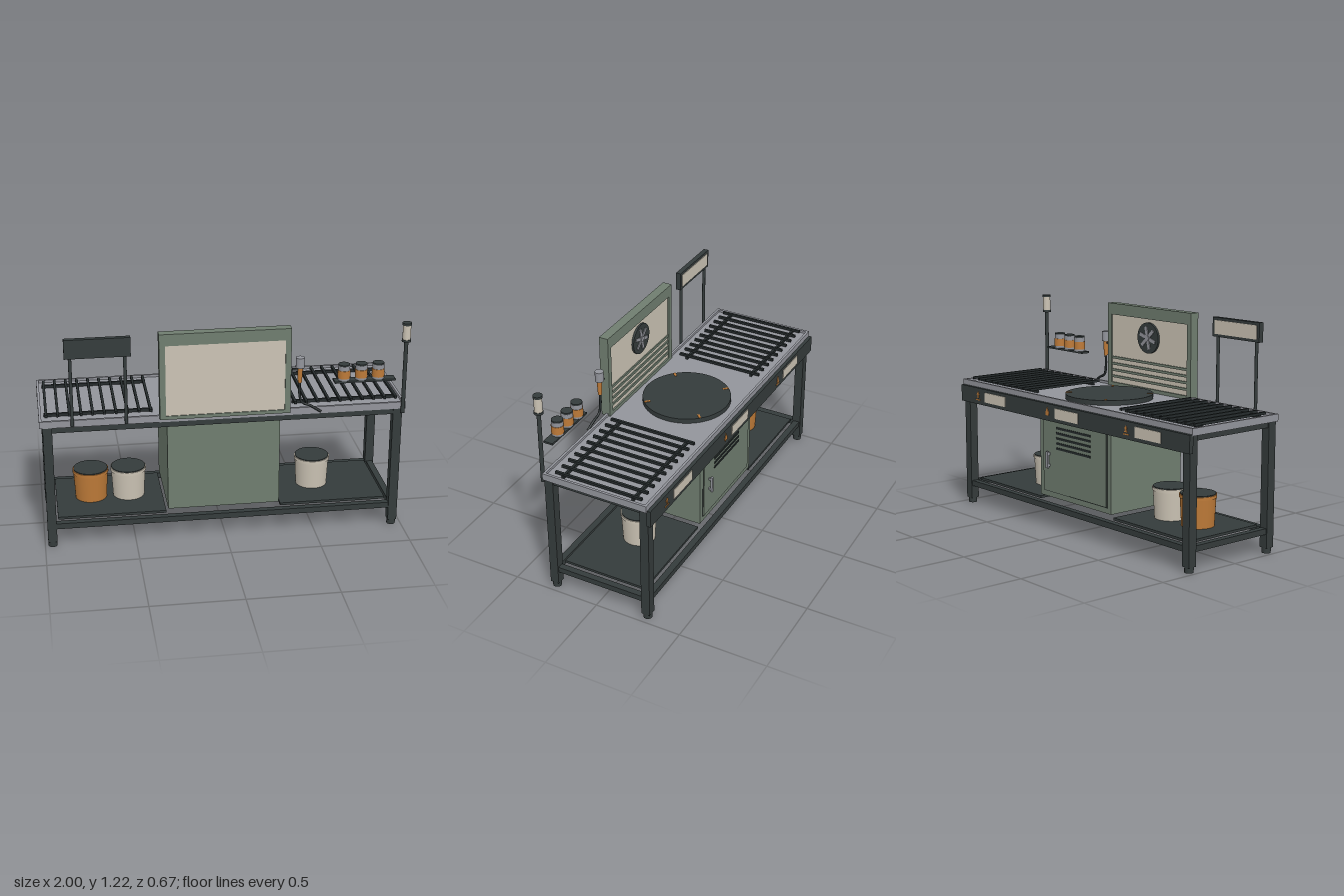
import * as THREE from 'three';

const mat = (name, color) => Object.assign(new THREE.MeshStandardMaterial({ color }), { name });

export function createModel() {
  const root = new THREE.Group();
  root.name = 'cookingStation';
  const dark = mat('dark metal', 0x343b3b);
  const black = mat('black iron', 0x252b2c);
  const steel = mat('brushed steel', 0x92949b);
  const green = mat('sage green', 0x6f7d6f);
  const cream = mat('cream', 0xcbc3b4);
  const orange = mat('copper orange', 0xbd7a38);

  const add = (name, geo, m, x, y, z, parent = root) => {
    const mesh = new THREE.Mesh(geo, m);
    mesh.name = name;
    mesh.position.set(x, y, z);
    parent.add(mesh);
    return mesh;
  };
  // Box given by its extents on each axis
  const box = (name, m, x0, x1, y0, y1, z0, z1, parent) =>
    add(name, new THREE.BoxGeometry(x1 - x0, y1 - y0, z1 - z0), m,
      (x0 + x1) / 2, (y0 + y1) / 2, (z0 + z1) / 2, parent);
  // Upright cylinder from y0 to y1
  const cyl = (name, m, x, z, y0, y1, r, rBottom = r, seg = 24, parent = root) =>
    add(name, new THREE.CylinderGeometry(r, rBottom, y1 - y0, seg), m, x, (y0 + y1) / 2, z, parent);

  // Worktop with a raised rim
  const cx = -0.005, cz = -0.005;
  box('worktop', steel, -1, 0.99, 0.71, 0.735, -0.31, 0.3);
  for (const s of [-1, 1]) {
    box('worktopLongRim', steel, -1, 0.99, 0.735, 0.749, cz + s * 0.298 - 0.007, cz + s * 0.298 + 0.007);
    box('worktopEndRim', steel, cx + s * 0.988 - 0.007, cx + s * 0.988 + 0.007, 0.735, 0.749, -0.296, 0.286);
  }

  // Legs, feet and connecting rails
  for (const sx of [-1, 1]) {
    const x = cx + sx * 0.953;
    for (const sz of [-1, 1]) {
      const z = cz + sz * 0.28;
      box('leg', dark, x - 0.025, x + 0.025, 0.03, 0.71, z - 0.025, z + 0.025);
      cyl('foot', dark, x, z, 0, 0.03, 0.024);
    }
    box('upperSideRail', dark, x - 0.018, x + 0.018, 0.678, 0.71, -0.26, 0.25);
    box('lowerSideRail', dark, x - 0.018, x + 0.018, 0.105, 0.137, -0.26, 0.25);
  }
  for (const sz of [-1, 1]) {
    const z = cz + sz * 0.28;
    box('upperLongRail', dark, -0.935, 0.925, 0.678, 0.71, z - 0.018, z + 0.018);
    box('lowerLongRail', dark, -0.935, 0.925, 0.105, 0.137, z - 0.018, z + 0.018);
  }

  // Two lower shelves
  box('lowerShelf', dark, -0.922, -0.325, 0.136, 0.15, -0.25, 0.24);
  box('lowerShelf', dark, 0.315, 0.912, 0.136, 0.15, -0.25, 0.24);

  // Cabinet with door, vents and handle on the rear side
  box('cabinet', green, -0.315, 0.305, 0.165, 0.71, -0.257, 0.25);
  box('doorGap', black, -0.283, 0.273, 0.195, 0.657, -0.259, -0.256);
  box('cabinetDoor', green, -0.279, 0.269, 0.199, 0.653, -0.264, -0.256);
  for (let i = 0; i < 5; i++) {
    const y = 0.455 + i * 0.029;
    box('cabinetVent', black, -0.15, 0.15, y - 0.006, y + 0.006, -0.268, -0.263);
  }
  box('doorHandle', steel, 0.203, 0.219, 0.335, 0.43, -0.288, -0.276);
  for (const y of [0.35, 0.415]) box('handleMount', steel, 0.206, 0.216, y - 0.006, y + 0.006, -0.277, -0.263);

  // Control apron with labels and little symbols on its rear face
  box('apron', dark, -1, 0.982, 0.622, 0.718, -0.329, -0.305);
  const flat = (pts) => {
    const g = new THREE.ExtrudeGeometry(new THREE.Shape(pts.map(p => new THREE.Vector2(...p))),
      { depth: 0.003, bevelEnabled: false });
    return g;
  };
  const symbols = [
    [[-0.005, -0.012], [0.005, -0.012], [0.005, 0.006], [0.014, 0.006], [0, 0.026], [-0.014, 0.006], [-0.005, 0.006]],
    [[-0.012, -0.02], [0.012, -0.02], [0.017, -0.006], [0.008, 0.008], [0.002, 0.026], [-0.006, 0.01], [-0.016, -0.004]],
    [[-0.014, -0.012], [0.014, -0.012], [0.006, -0.002], [0.01, 0.01], [0, 0.024], [-0.008, 0.01], [-0.004, 0]],
  ];
  [0.64, -0.025, -0.69].forEach((x, i) => {
    box('apronLabel', cream, x - 0.1, x + 0.1, 0.642, 0.7, -0.333, -0.328);
    add('apronSymbol', flat(symbols[i]), orange, x + 0.17, 0.672, -0.332);
    if (i !== 1) box('symbolBase', orange, x + 0.148, x + 0.192, 0.646, 0.652, -0.332, -0.328);
  });

  // Round griddle with four copper marks
  cyl('griddle', dark, -0.006, -0.01, 0.734, 0.762, 0.245, 0.245, 64);
  for (let i = 0; i < 4; i++) {
    const a = Math.PI / 4 + i * Math.PI / 2;
    add('griddleMark', new THREE.BoxGeometry(0.034, 0.003, 0.012), orange,
      -0.006 + Math.cos(a) * 0.227, 0.763, -0.01 + Math.sin(a) * 0.227).rotation.y = -a;
  }

  // Grates either side of the griddle
  for (const [x0, x1] of [[-0.96, -0.4], [0.39, 0.95]]) {
    const grate = new THREE.Group();
    grate.name = 'grate';
    root.add(grate);
    for (let i = 0; i < 10; i++) {
      const x = x0 + (x1 - x0) * i / 9;
      box('grateBar', black, x - 0.007, x + 0.007, 0.748, 0.762, -0.265, 0.242, grate);
    }
    for (const z of [-0.217, 0.193])
      box('grateCrossBar', black, x0 - 0.012, x1 + 0.012, 0.735, 0.752, z - 0.007, z + 0.007, grate);
  }

  // Upright splash panel: frame around a cream board
  const frame = new THREE.Shape([[-0.36, 0.735], [0.345, 0.735], [0.345, 1.217], [-0.36, 1.217]]
    .map(p => new THREE.Vector2(...p)));
  frame.holes.push(new THREE.Path([[-0.328, 0.755], [-0.328, 1.152], [0.314, 1.152], [0.314, 0.755]]
    .map(p => new THREE.Vector2(...p))));
  add('splashFrame', new THREE.ExtrudeGeometry(frame, { depth: 0.053, bevelEnabled: false }), green, 0, 0, 0.276);
  box('splashBoard', cream, -0.33, 0.316, 0.75, 1.155, 0.285, 0.324);
  for (let i = 0; i < 4; i++) {
    const y = 0.79 + i * 0.037;
    box('splashSlat', green, -0.325, 0.311, y - 0.007, y + 0.007, 0.278, 0.286);
  }

  // Fan on the rear of the splash panel
  const fan = new THREE.Group();
  fan.name = 'fan';
  fan.position.set(-0.007, 1.045, 0.28);
  root.add(fan);
  add('fanDisc', new THREE.CylinderGeometry(0.088, 0.088, 0.014, 40), dark, 0, 0, 0, fan).rotation.x = Math.PI / 2;
  for (let i = 0; i < 6; i++) {
    const a = i * Math.PI / 3 + 0.3;
    add('fanBlade', new THREE.BoxGeometry(0.052, 0.02, 0.005), steel,
      Math.cos(a) * 0.04, Math.sin(a) * 0.04, -0.009, fan).rotation.z = a;
  }
  add('fanHub', new THREE.CylinderGeometry(0.016, 0.016, 0.012, 20), steel, 0, 0, -0.01, fan).rotation.x = Math.PI / 2;

  // Sign on two posts
  for (const x of [-0.825, -0.538]) cyl('signPost', dark, x, 0.31, 0.72, 1.11, 0.009);
  box('signBoard', dark, -0.855, -0.507, 1.105, 1.21, 0.297, 0.326);
  box('signPlate', cream, -0.838, -0.524, 1.12, 1.195, 0.293, 0.298);

  // Beacon lamp on a pole
  cyl('beaconPole', dark, 0.973, 0.308, 0.69, 1.11, 0.011);
  cyl('beaconBase', dark, 0.973, 0.308, 1.105, 1.118, 0.025);
  cyl('beaconLamp', cream, 0.973, 0.308, 1.118, 1.198, 0.022);
  cyl('beaconCap', dark, 0.973, 0.308, 1.198, 1.211, 0.025);

  // Spice shelf with three jars
  box('spiceShelf', dark, 0.585, 0.92, 0.889, 0.9, 0.272, 0.328);
  for (const x of [0.64, 0.735, 0.828]) {
    cyl('jar', steel, x, 0.298, 0.9, 0.982, 0.032);
    cyl('jarBand', orange, x, 0.298, 0.912, 0.957, 0.034);
    cyl('jarLid', dark, x, 0.298, 0.982, 0.99, 0.031);
  }

  // Hand torch with its hose and hook
  cyl('torchHead', steel, 0.398, 0.303, 0.985, 1.042, 0.024);
  cyl('torchHandle', orange, 0.398, 0.303, 0.9, 0.985, 0.015, 0.011);
  box('torchHook', dark, 0.355, 0.395, 0.97, 0.98, 0.298, 0.308);
  const hose = new THREE.CatmullRomCurve3([[0.398, 0.905, 0.303], [0.397, 0.84, 0.303], [0.412, 0.785, 0.305],
    [0.46, 0.762, 0.31], [0.515, 0.728, 0.317]].map(p => new THREE.Vector3(...p)));
  add('torchHose', new THREE.TubeGeometry(hose, 32, 0.007, 10), black, 0, 0, 0);

  // Tapered buckets with dark lids
  for (const [x, m] of [[-0.725, orange], [-0.513, cream], [0.54, cream]]) {
    cyl('bucket', m, x, -0.005, 0.15, 0.32, 0.097, 0.088, 40);
    cyl('bucketRim', m, x, -0.005, 0.304, 0.322, 0.1, 0.1, 40);
    cyl('bucketLid', dark, x, -0.005, 0.32, 0.327, 0.095, 0.095, 40);
  }
  return root;
}
